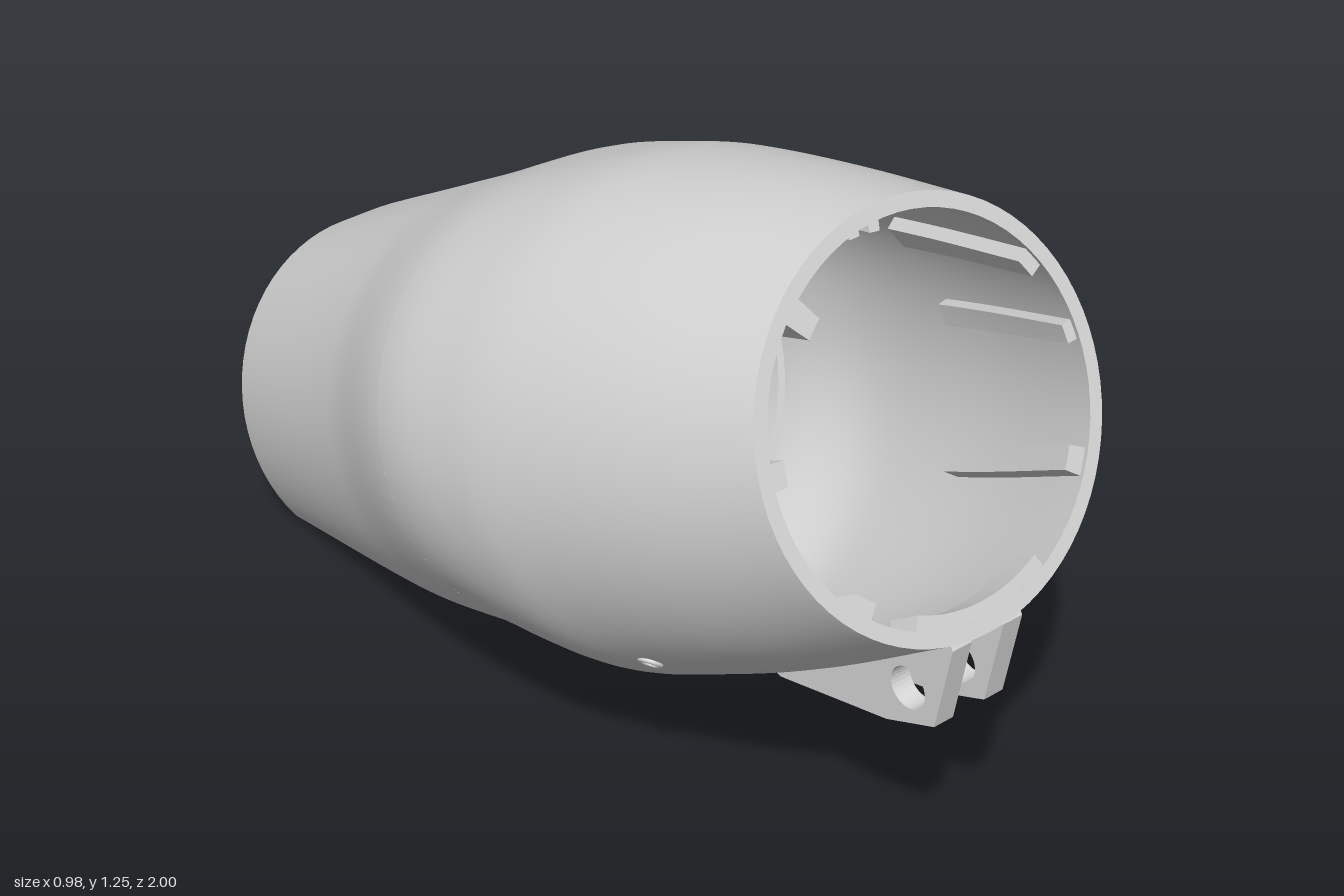
import * as THREE from 'three';
import { mergeGeometries } from 'three/addons/utils/BufferGeometryUtils.js';

const DEG = Math.PI / 180;

// Shell stations along its axis: s, centre x, centre y, radius x, radius y, upper shoulder bulge
const STATIONS = [
  [-0.74, 0.114, 0.5, 0.352, 0.352, 0.15],
  [-0.68, 0.11, 0.5, 0.358, 0.358, 0.15],
  [-0.14, 0.06, 0.491, 0.435, 0.425, 0.12],
  [0.19, 0.004, 0.518, 0.477, 0.438, 0.12],
  [0.44, 0, 0.497, 0.489, 0.472, 0.05],
  [0.6, 0, 0.497, 0.478, 0.467, 0.02],
  [0.85, -0.003, 0.493, 0.442, 0.434, 0],
  [1.145, -0.008, 0.49, 0.382, 0.373, 0],
];

// Smooth Hermite interpolation of the stations
function station(s) {
  const n = STATIONS.length;
  let i = 0;
  while (i < n - 2 && s > STATIONS[i + 1][0]) i++;
  const A = STATIONS[i], B = STATIONS[i + 1], h = B[0] - A[0], t = (s - A[0]) / h;
  const slope = (j, k) => {
    const p = STATIONS[Math.max(j - 1, 0)], q = STATIONS[Math.min(j + 1, n - 1)];
    return (q[k] - p[k]) / (q[0] - p[0]);
  };
  return [1, 2, 3, 4, 5].map((k) =>
    A[k] * (1 + 2 * t) * (1 - t) ** 2 + slope(i, k) * h * t * (1 - t) ** 2 +
    B[k] * t * t * (3 - 2 * t) + slope(i + 1, k) * h * t * t * (t - 1));
}

// Point on the shell at axis position s, angle in degrees, offset from the surface
function onShell(s, deg, off) {
  const [cx, cy, rx, ry, bulge] = station(s);
  const c = Math.cos(deg * DEG), d = Math.sin(deg * DEG);
  const k = c > 0 && d > 0 ? 1 + bulge * (2 * c * d) ** 2 : 1;
  return [cx + (rx * k + off) * c, cy + (ry * k + off) * d, s];
}

// Straight cut edges of the open rear half, as shell angles in degrees
function top(s) {
  const [cx, cy, rx, ry] = station(s);
  return Math.atan2((0.843 - cy) / ry, (0.395 + 0.08 * s - cx) / rx) / DEG;
}
function bottom(s) {
  const [, cy, , ry] = station(s);
  return 180 + Math.asin((cy - 0.207 + 0.159 * s) / ry) / DEG;
}

// Grid surface from a function of u, v in 0..1
function patch(f, nu, nv) {
  const pos = [], idx = [];
  for (let j = 0; j <= nv; j++) for (let i = 0; i <= nu; i++) pos.push(...f(i / nu, j / nv));
  for (let j = 0; j < nv; j++) for (let i = 0; i < nu; i++) {
    const a = j * (nu + 1) + i, c = a + nu + 1;
    idx.push(a, a + 1, c + 1, a, c + 1, c);
  }
  const g = new THREE.BufferGeometry();
  g.setAttribute('position', new THREE.Float32BufferAttribute(pos, 3));
  g.setIndex(idx);
  g.computeVertexNormals();
  return g;
}

// Piecewise linear value through [s, value] pairs in rising s
const through = (pts) => (s) => {
  let i = 0;
  while (i < pts.length - 2 && s > pts[i + 1][0]) i++;
  const [a, b] = [pts[i], pts[i + 1]];
  return a[1] + (b[1] - a[1]) * (s - a[0]) / (b[0] - a[0]);
};

// Closed solid following the shell: angle range, axis range, offset range
function curvedSolid(a0, a1, s0, s1, o0, o1) {
  const f0 = typeof a0 === 'function' ? a0 : () => a0;
  const f1 = typeof a1 === 'function' ? a1 : () => a1;
  const p = (u, v, w) => {
    const s = s0 + (s1 - s0) * v;
    return onShell(s, f0(s) + (f1(s) - f0(s)) * u, o0 + (o1 - o0) * w);
  };
  const span = Math.abs(f1(s0) - f0(s0));
  const na = Math.max(1, Math.ceil(span / 5)), ns = Math.max(1, Math.ceil((s1 - s0) / 0.03));
  const parts = [
    patch((u, v) => p(u, v, 1), na, ns),
    patch((u, v) => p(1 - u, v, 0), na, ns),
    patch((w, u) => p(u, 1, w), 1, na),
    patch((w, u) => p(u, 0, 1 - w), 1, na),
  ];
  if (span < 359.9) {
    parts.push(patch((v, w) => p(1, v, w), ns, 1), patch((w, v) => p(0, v, w), 1, ns));
  }
  return mergeGeometries(parts);
}

export function createModel() {
  const grey = new THREE.MeshStandardMaterial({ color: 0xd8d8d8 });
  grey.name = 'lightGrey';

  const model = new THREE.Group();
  model.name = 'tubularHousing';
  const body = new THREE.Group();
  body.name = 'tiltedShell';
  body.rotation.x = -0.416;
  model.add(body);
  const add = (name, geo, parent = body) => {
    const m = new THREE.Mesh(geo, grey);
    m.name = name;
    parent.add(m);
    return m;
  };

  // Full round front barrel and the open rear half with its stepped lip
  add('frontBarrel', curvedSolid(-90, 270, 0.19, 1.145, -0.028, 0));
  add('rearHalfShell', curvedSolid(top, bottom, -0.68, 0.19, -0.024, 0));
  add('rearLip', curvedSolid((s) => top(s) - 5, (s) => bottom(s) + 2, -0.73, 0.2, -0.045, -0.024));
  add('barrelLip', curvedSolid((s) => bottom(s) - 360, top, 0.14, 0.22, -0.045, -0.022));

  // Ribs along the inside of the rear half
  const rib = (name, pts, width, depth) => {
    const a = through(pts);
    add(name, curvedSolid(a, (s) => a(s) + width, pts[0][0], pts[pts.length - 1][0], -0.04 - depth, -0.04));
  };
  rib('upperZigzagRib', [[-0.7, 155], [-0.41, 159], [-0.291, 133], [0.144, 144]], 3, 0.09);
  rib('lowerZigzagRib', [[-0.72, 173], [-0.436, 180], [-0.284, 163.5], [0.15, 167]], 3, 0.07);
  rib('straightRib', [[-0.7, 128], [0.16, 140]], 3, 0.05);
  const railTop = through([[-0.65, 202], [0.11, 213]]);
  add('bottomEdgeRail', curvedSolid(railTop, (s) => bottom(s) + 1, -0.7, 0.15, -0.062, -0.04));
  add('ringRib', curvedSolid(42, 225, 0.16, 0.2, -0.07, -0.025));

  // Paired ceiling ribs and guide rails inside the barrel
  for (const a of [80, 88]) add('ceilingRib', curvedSolid(a, a + 4, 0.1, 1.06, -0.08, -0.02));
  for (const [a, w, s0, depth] of [[126, 8, 0.2, 0.09], [172, 8, 0.2, 0.065], [222, 8, 0.2, 0.06],
    [324, 8, 0.75, 0.065], [28, 7, 0.75, 0.055], [3, 6, 0.75, 0.05]]) {
    add('guideRail', curvedSolid(a, a + w, s0, 1.135, -depth, -0.02));
  }
  add('bracketPad', curvedSolid(245, 295, 1.08, 1.144, -0.055, -0.01));

  // Raised rims of the screw holes
  for (const [s, a] of [[1.09, 18], [0.671, 34], [1.089, -45], [0.6, 230]]) {
    const rim = add('screwHoleRim', new THREE.TorusGeometry(0.019, 0.005, 8, 24));
    rim.position.set(...onShell(s, a, 0));
    rim.rotation.set(0, Math.PI / 2, a * DEG, 'ZYX');
  }

  // Twin hinge lugs under the front rim, with a pin hole
  const outline = [[1.0, 0.57], [0.97, 0.4], [0.86, 0.355], [0.6, 0.3], [0.56, 0.31], [0.75, 0.42], [0.985, 0.595]];
  const lug = new THREE.Shape(outline.map(([z, y]) => new THREE.Vector2(-z, y)));
  lug.holes.push(new THREE.Path().absarc(-0.905, 0.445, 0.04, 0, Math.PI * 2, true));
  for (const x of [-0.095, 0.025]) {
    const g = new THREE.ExtrudeGeometry(lug, { depth: 0.045, bevelEnabled: false, curveSegments: 16 });
    g.rotateY(Math.PI / 2);
    add('hingeLug', g, model).position.x = x;
  }
  return model;
}
